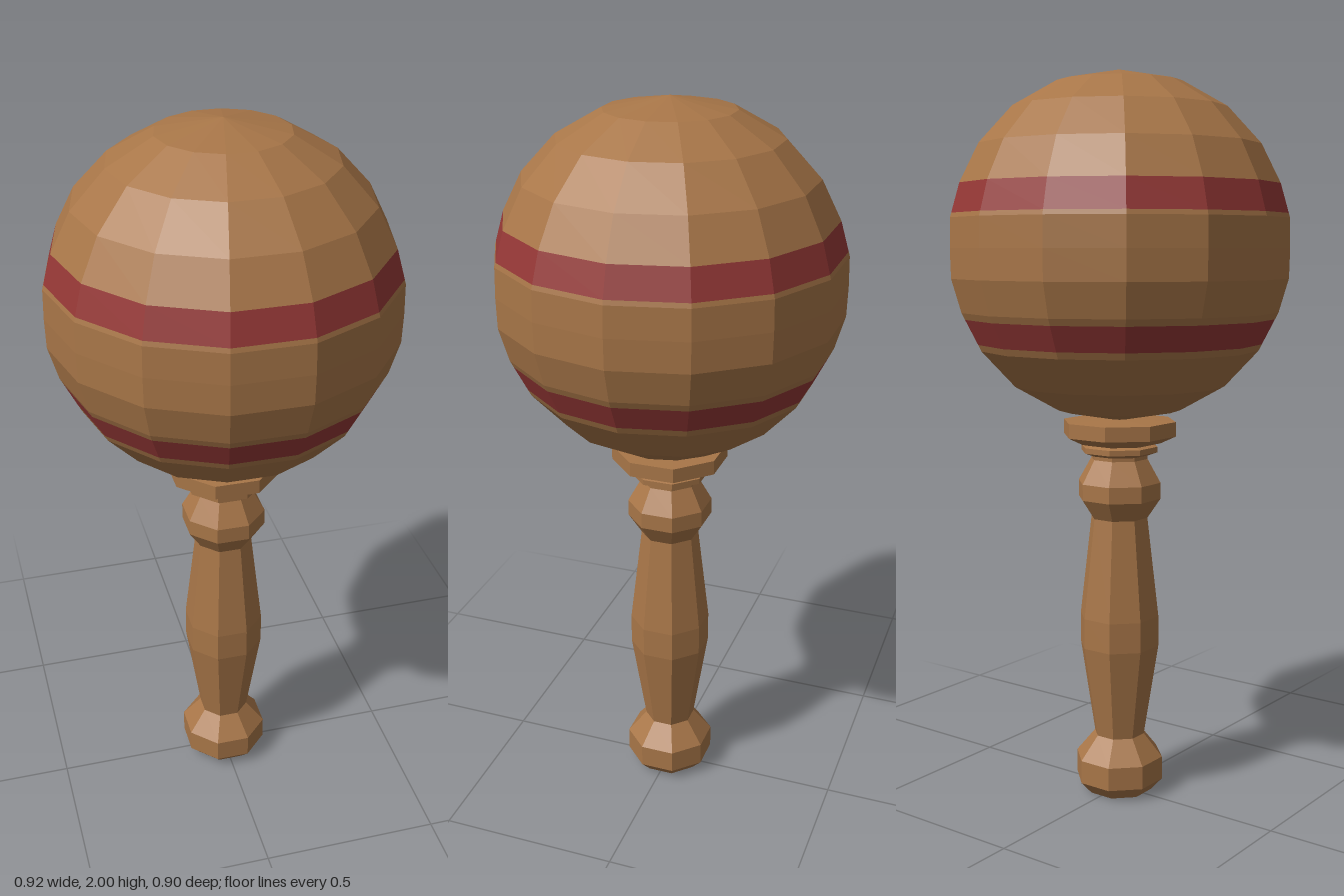
import * as THREE from 'three';

const wood = new THREE.MeshStandardMaterial({ color: 0xa87648, flatShading: true });
wood.name = 'wood';
const red = new THREE.MeshStandardMaterial({ color: 0x953836, flatShading: true });
red.name = 'red paint';

// faceted turned part from [radius, y] points, listed bottom to top
function turned(name, points, sides, angle, material) {
  const geometry = new THREE.LatheGeometry(points.map(([r, y]) => new THREE.Vector2(r, y)), sides);
  geometry.rotateY(angle);
  const mesh = new THREE.Mesh(geometry, material);
  mesh.name = name;
  return mesh;
}

// octagonal part, profile given by the distance to its flat sides
const octagon = (name, points) =>
  turned(name, points.map(([r, y]) => [r / Math.cos(Math.PI / 8), y]), 8, Math.PI / 8, wood);

export function createModel() {
  const model = new THREE.Group();
  model.name = 'maraca';

  // ball profile: upper half mirrored about the middle height
  const middle = 1.53;
  const upper = [[0.458, 1.61], [0.432, 1.7], [0.38, 1.803], [0.29, 1.9], [0.17, 1.968], [0, 2]];
  const lower = upper.map(([r, y]) => [r, 2 * middle - y]).reverse();
  const profile = [...lower, [0.46, middle], ...upper];

  const radiusAt = (y) => {
    const i = Math.max(1, profile.findIndex((p) => p[1] >= y));
    const [r0, y0] = profile[i - 1];
    const [r1, y1] = profile[i];
    return r0 + (r1 - r0) * (y - y0) / (y1 - y0);
  };

  // ball cut into bands, alternating wood and painted stripes
  const cuts = [profile[0][1], 1.275, 1.342, 1.622, 1.7, 2];
  const names = ['ballBottom', 'lowerStripe', 'ballMiddle', 'upperStripe', 'ballTop'];
  const ball = new THREE.Group();
  ball.name = 'ball';
  names.forEach((name, i) => {
    const [a, b] = [cuts[i], cuts[i + 1]];
    const inner = profile.filter(([, y]) => y > a + 0.001 && y < b - 0.001);
    const points = [[radiusAt(a), a], ...inner, [radiusAt(b), b]];
    ball.add(turned(name, points, 14, Math.PI / 2, i % 2 ? red : wood));
  });
  model.add(ball);

  // collar under the ball
  model.add(octagon('collar', [
    [0, 0.965], [0.075, 0.965], [0.1, 0.975], [0.1, 0.99], [0.085, 0.995], [0.108, 1.0],
    [0.147, 1.02], [0.147, 1.06], [0, 1.065],
  ]));

  // grip with its knob and foot
  model.add(octagon('handle', [
    [0, 0], [0.085, 0], [0.115, 0.035], [0.115, 0.1], [0.066, 0.165],
    [0.104, 0.425], [0.104, 0.51], [0.074, 0.79], [0.108, 0.845], [0.108, 0.89],
    [0.074, 0.955], [0.074, 0.97], [0, 0.97],
  ]));

  return model;
}
